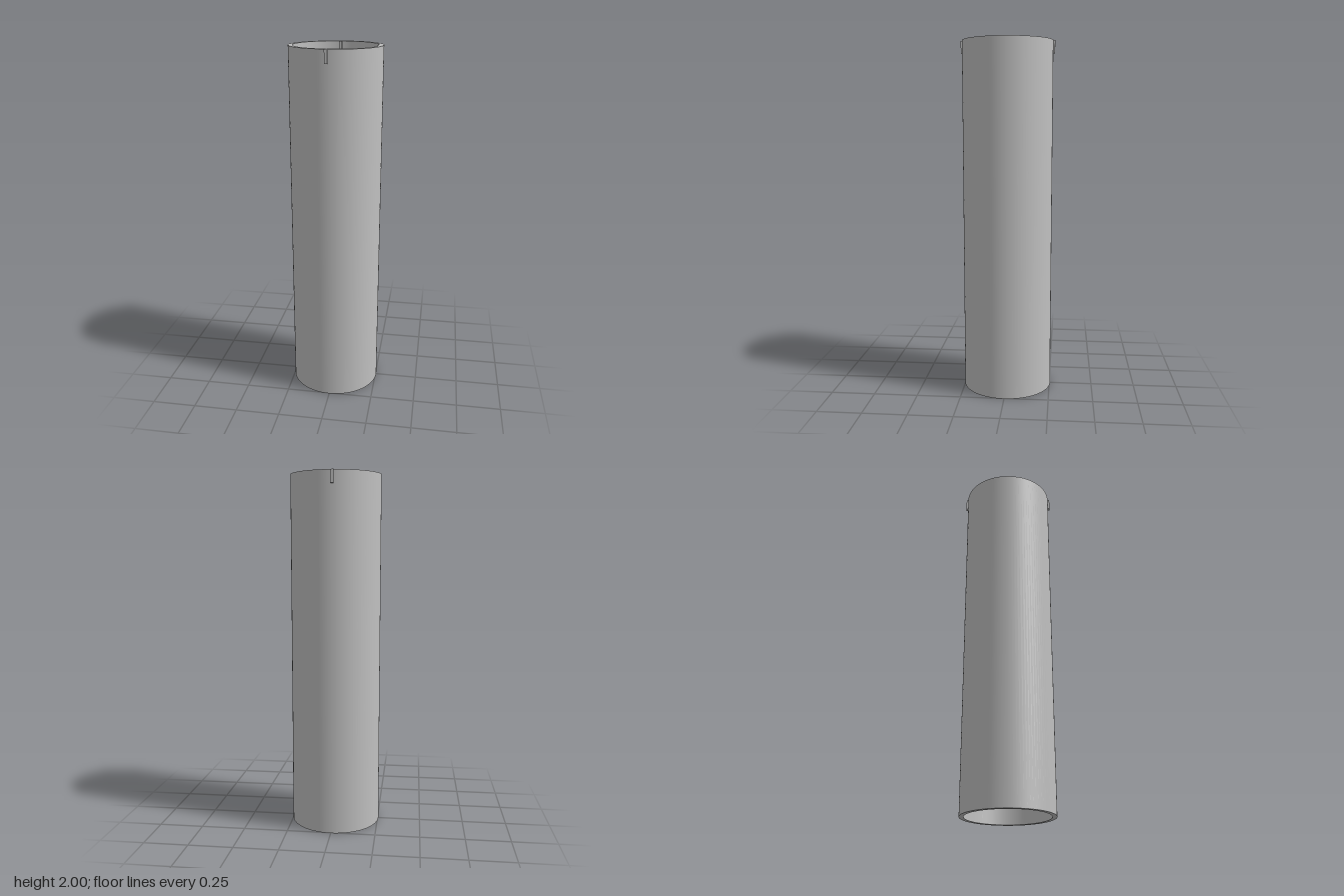
import * as THREE from 'three';
import { mergeGeometries } from 'three/addons/utils/BufferGeometryUtils.js';

const HEIGHT = 2, OUTER = 0.255, INNER = 0.231, TAB_HEIGHT = 0.07;

export function createModel() {
  const group = new THREE.Group();
  const grey = new THREE.MeshStandardMaterial({ color: 0xc0c0c0 });
  grey.name = 'grey';

  // Hollow tube: each side of the wall section is turned on its own, keeping the rims sharp
  const section = [[OUTER, 0], [OUTER, HEIGHT], [INNER, HEIGHT], [INNER, 0]]
    .map(([r, y]) => new THREE.Vector2(r, y));
  const walls = section.map((p, i) => new THREE.LatheGeometry([p, section[(i + 1) % 4]], 96));
  const tube = new THREE.Mesh(mergeGeometries(walls), grey);
  tube.name = 'tube';
  group.add(tube);

  // Block hanging down from the top rim
  function addTab(name, x0, x1, z0, z1) {
    const tab = new THREE.Mesh(new THREE.BoxGeometry(x1 - x0, TAB_HEIGHT, z1 - z0), grey);
    tab.position.set((x0 + x1) / 2, HEIGHT - TAB_HEIGHT / 2, (z0 + z1) / 2);
    tab.name = name;
    group.add(tab);
  }

  // Narrow tabs through the wall at front and back, wide key inside the left wall
  addTab('frontTab', -0.018, -0.001, 0.21, 0.265);
  addTab('backTab', -0.018, -0.001, -0.265, -0.21);
  addTab('innerKey', 0.222, 0.25, -0.028, 0.028);

  return group;
}
